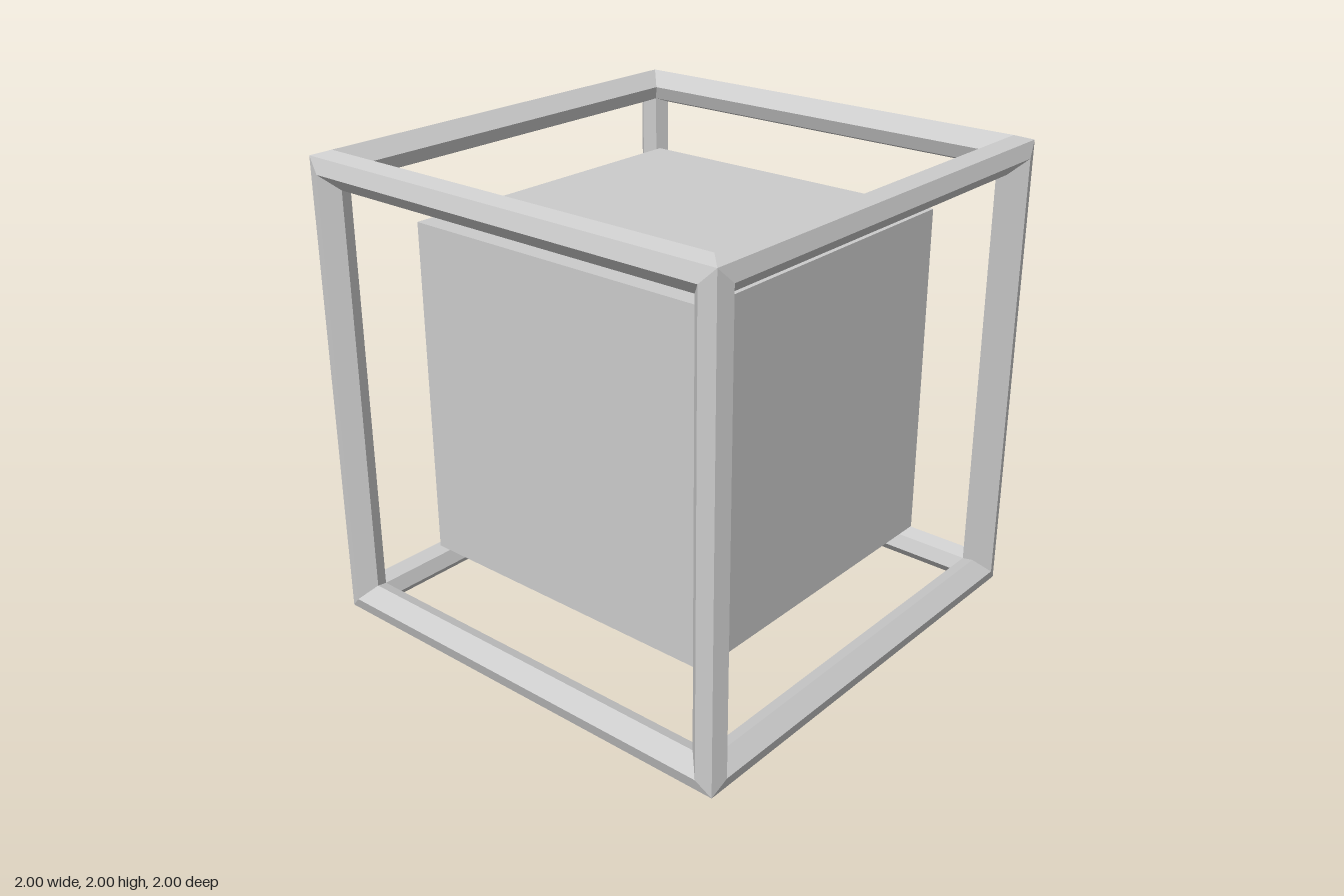
import * as THREE from 'three';

// Six-sided bar section as (x, z), symmetric about the diagonal
const SECTION = [[0.98, 0.98], [0.92, 1], [0.858, 0.938], [0.88, 0.88], [0.938, 0.858], [1, 0.92]];

// Upright bar at the +x +z corner, with mitred ends that meet the other two bars
function barGeometry() {
  const at = ([x, z], end) => [x, end * Math.min(x, z), z];
  const positions = [];
  SECTION.forEach((a, i) => {
    const b = SECTION[(i + 1) % SECTION.length];
    positions.push(...at(a, -1), ...at(a, 1), ...at(b, 1));
    positions.push(...at(a, -1), ...at(b, 1), ...at(b, -1));
  });
  const geometry = new THREE.BufferGeometry();
  geometry.setAttribute('position', new THREE.Float32BufferAttribute(positions, 3));
  geometry.computeVertexNormals();
  return geometry;
}

export function createModel() {
  const model = new THREE.Group();
  model.name = 'framedCube';
  const material = new THREE.MeshStandardMaterial({ color: 0xcccccc, flatShading: true });

  // Solid cube floating in the middle
  const core = new THREE.Mesh(new THREE.BoxGeometry(1.42, 1.42, 1.42), material);
  core.name = 'innerCube';
  core.position.y = 1;
  model.add(core);

  // Open frame: four parallel bars for each of the three axes
  const frame = new THREE.Group();
  frame.name = 'outerFrame';
  frame.position.y = 1;
  const geometry = barGeometry();
  const axes = [
    ['uprightBars', 0, 0],
    ['sidewaysBars', 0, Math.PI / 2],
    ['frontToBackBars', Math.PI / 2, 0],
  ];
  for (const [name, rx, rz] of axes) {
    const bars = new THREE.Group();
    bars.name = name;
    bars.rotation.set(rx, 0, rz);
    for (let i = 0; i < 4; i++) {
      const bar = new THREE.Mesh(geometry, material);
      bar.name = 'frameBar';
      bar.rotation.y = (i * Math.PI) / 2;
      bars.add(bar);
    }
    frame.add(bars);
  }
  model.add(frame);
  return model;
}
